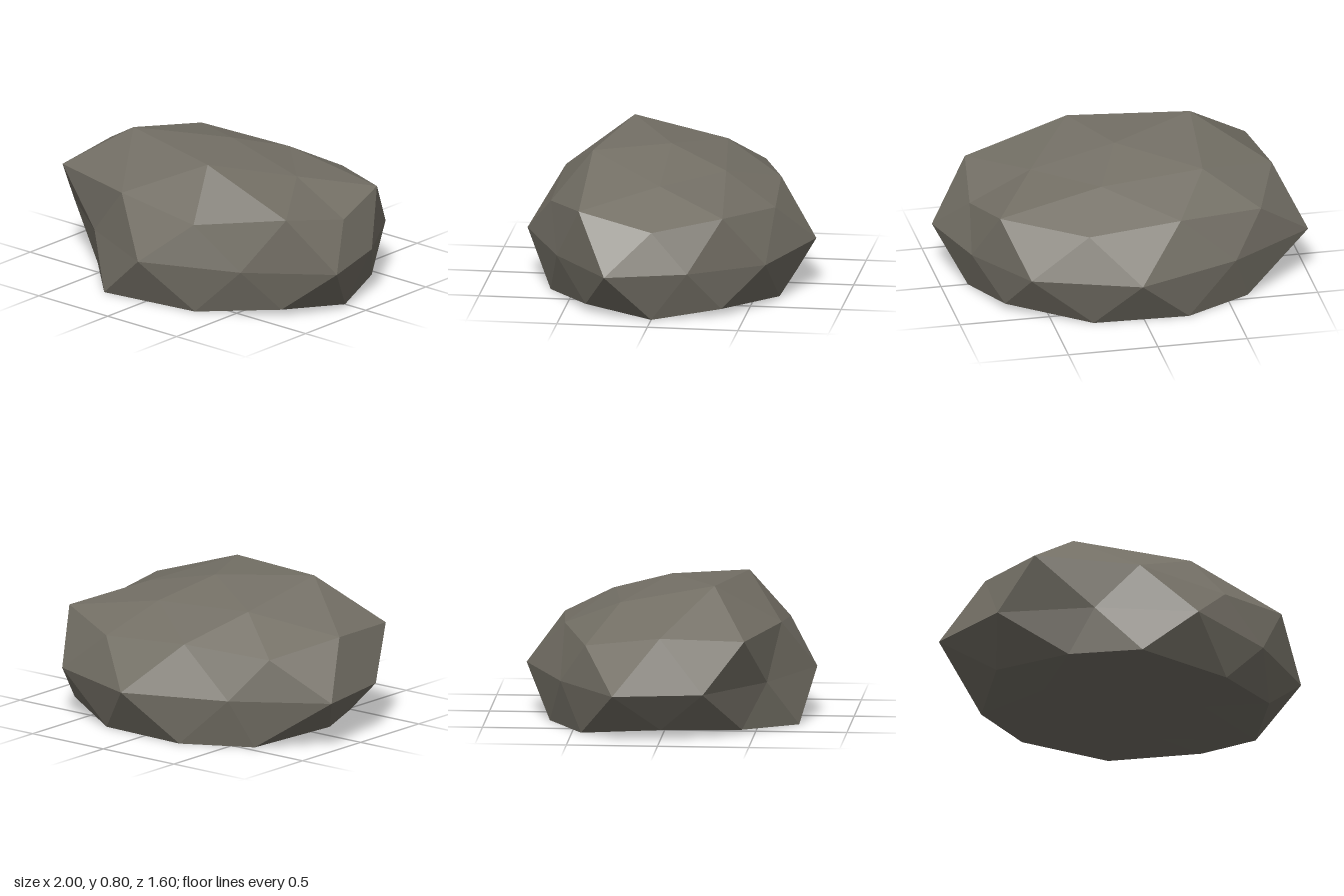
import * as THREE from 'three';

// Cross-sections of the boulder, walked from +x towards +z
const crown = [[0.5, 0.66, 0], [0.21, 0.77, 0.41], [-0.45, 0.795, 0.27], [-0.41, 0.69, -0.25], [0.17, 0.67, -0.32]];
const shoulder = [
  [0.84, 0.49, 0], [0.78, 0.58, 0.41], [0.3, 0.5, 0.63], [-0.23, 0.56, 0.62], [-0.8, 0.55, 0.46],
  [-0.85, 0.57, 0], [-0.7, 0.5, -0.42], [-0.22, 0.54, -0.57], [0.3, 0.51, -0.61], [0.75, 0.56, -0.38],
];
const waist = [
  [1, 0.24], [0.58, 0.56], [0.04, 0.795], [-0.48, 0.56], [-0.91, 0.24],
  [-1, -0.25], [-0.53, -0.57], [0.04, -0.8], [0.62, -0.6], [0.87, -0.2],
].map(([x, z]) => [x, 0.27, z]);
const foot = [
  [0.85, 0, 0], [0.72, 0.04, 0.38], [0.31, 0, 0.63], [-0.27, 0, 0.72], [-0.57, 0.02, 0.43],
  [-0.78, 0.05, 0], [-0.62, 0, -0.45], [-0.25, 0, -0.65], [0.28, 0, -0.63], [0.72, 0.04, -0.37],
];
// Flat underside ring
const base = Array.from({ length: 5 }, (_, k) => {
  const a = (0.2 + 0.4 * k) * Math.PI;
  return [0.48 * Math.cos(a), 0, 0.4 * Math.sin(a)];
});
const top = [0.03, 0.775, 0];
const bottom = [0, 0, 0];

function boulderGeometry() {
  const positions = [];
  const tri = (a, b, c) => positions.push(...a, ...b, ...c);
  const at = (ring, i) => ring[(i + ring.length) % ring.length];

  // Five identical sectors of a once-subdivided icosahedron
  for (let k = 0; k < 5; k++) {
    const j = 2 * k;
    const A = (i) => at(crown, k + i);
    const B = (i) => at(shoulder, j + i);
    const C = (i) => at(waist, j + i);
    const D = (i) => at(foot, j + i);
    const E = (i) => at(base, k + i);

    // Cap
    tri(top, A(1), A(0));
    tri(A(0), B(1), B(0));
    tri(A(0), A(1), B(1));
    tri(A(1), B(2), B(1));
    // Upper flank
    tri(B(0), B(1), C(0));
    tri(B(1), C(1), C(0));
    tri(B(1), B(2), C(1));
    tri(B(0), C(0), C(-1));
    // Lower flank
    tri(C(0), C(1), D(1));
    tri(C(0), D(0), C(-1));
    tri(C(0), D(1), D(0));
    tri(C(-1), D(0), D(-1));
    // Underside
    tri(bottom, E(0), E(1));
    tri(E(0), D(1), D(2));
    tri(E(0), D(2), E(1));
    tri(E(1), D(2), D(3));
  }

  const geometry = new THREE.BufferGeometry();
  geometry.setAttribute('position', new THREE.Float32BufferAttribute(positions, 3));
  geometry.computeVertexNormals(); // unshared corners give flat facets
  return geometry;
}

export function createModel() {
  const stone = new THREE.MeshStandardMaterial({ color: 0x736f65 });
  stone.name = 'stone grey';
  stone.flatShading = true;

  const boulder = new THREE.Mesh(boulderGeometry(), stone);
  boulder.name = 'boulder';

  const group = new THREE.Group();
  group.name = 'rock';
  group.add(boulder);
  return group;
}
